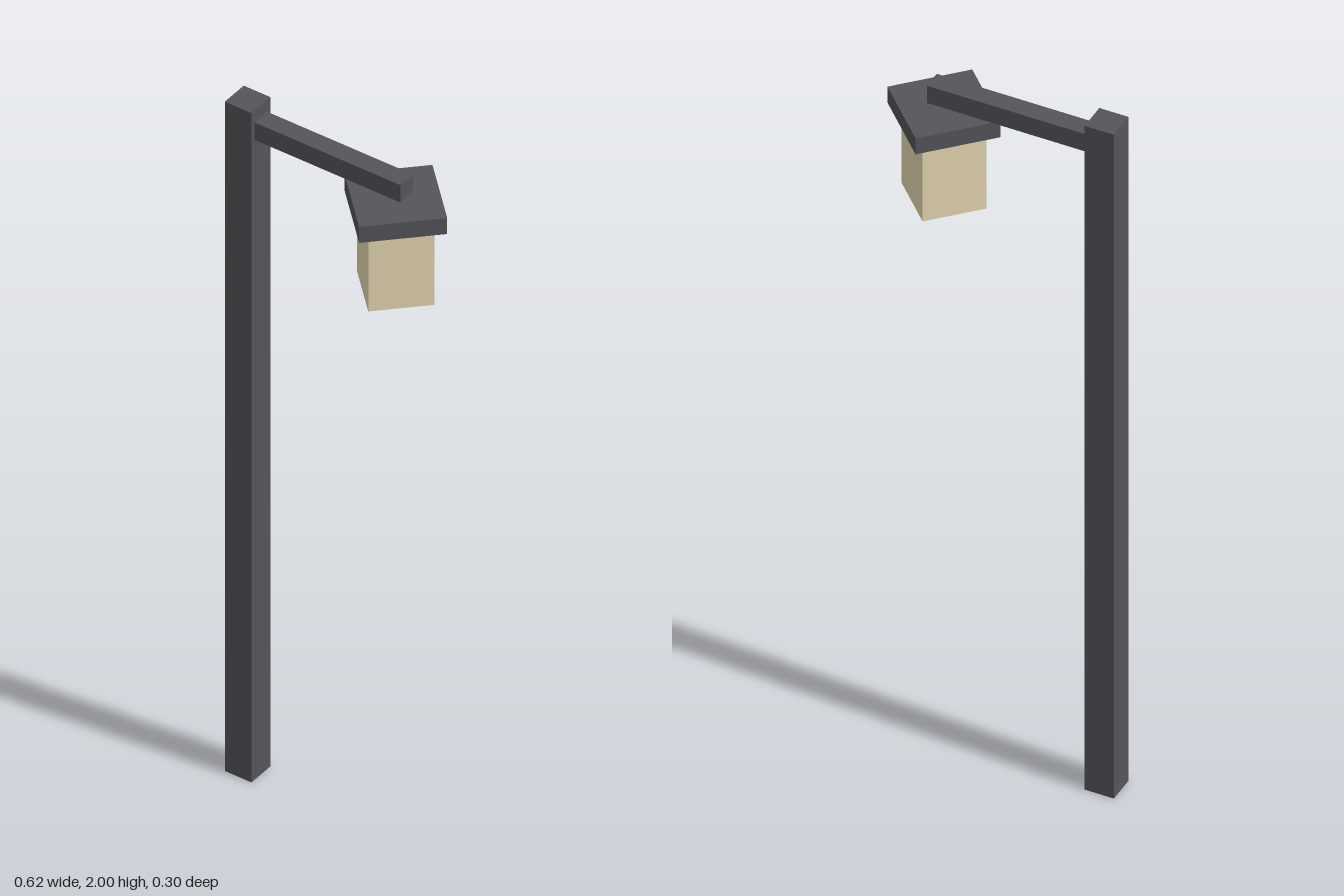
import * as THREE from 'three';

export function createModel() {
  const lamp = new THREE.Group();
  lamp.name = 'streetLamp';

  const darkMetal = new THREE.MeshStandardMaterial({ color: 0x55545a });
  darkMetal.name = 'dark metal';
  const warmGlass = new THREE.MeshStandardMaterial({ color: 0xe6d7b2 });
  warmGlass.name = 'warm glass';

  // Adds a box spanning y0..y1, centred on x, optionally turned about y
  function addBox(name, material, width, depth, y0, y1, x, turn = 0) {
    const mesh = new THREE.Mesh(new THREE.BoxGeometry(width, y1 - y0, depth), material);
    mesh.name = name;
    mesh.position.set(x, (y0 + y1) / 2, 0);
    mesh.rotation.y = turn;
    lamp.add(mesh);
  }

  // Upright post and the arm reaching out from it
  addBox('post', darkMetal, 0.078, 0.078, 0, 2, -0.273);
  addBox('arm', darkMetal, 0.427, 0.052, 1.912, 1.964, -0.0205);

  // Lantern: square glass under a wider cap, both turned corner-on
  const lanternX = 0.161;
  addBox('lanternCap', darkMetal, 0.213, 0.213, 1.854, 1.902, lanternX, Math.PI / 4);
  addBox('lanternGlass', warmGlass, 0.16, 0.16, 1.626, 1.854, lanternX, Math.PI / 4);

  return lamp;
}
